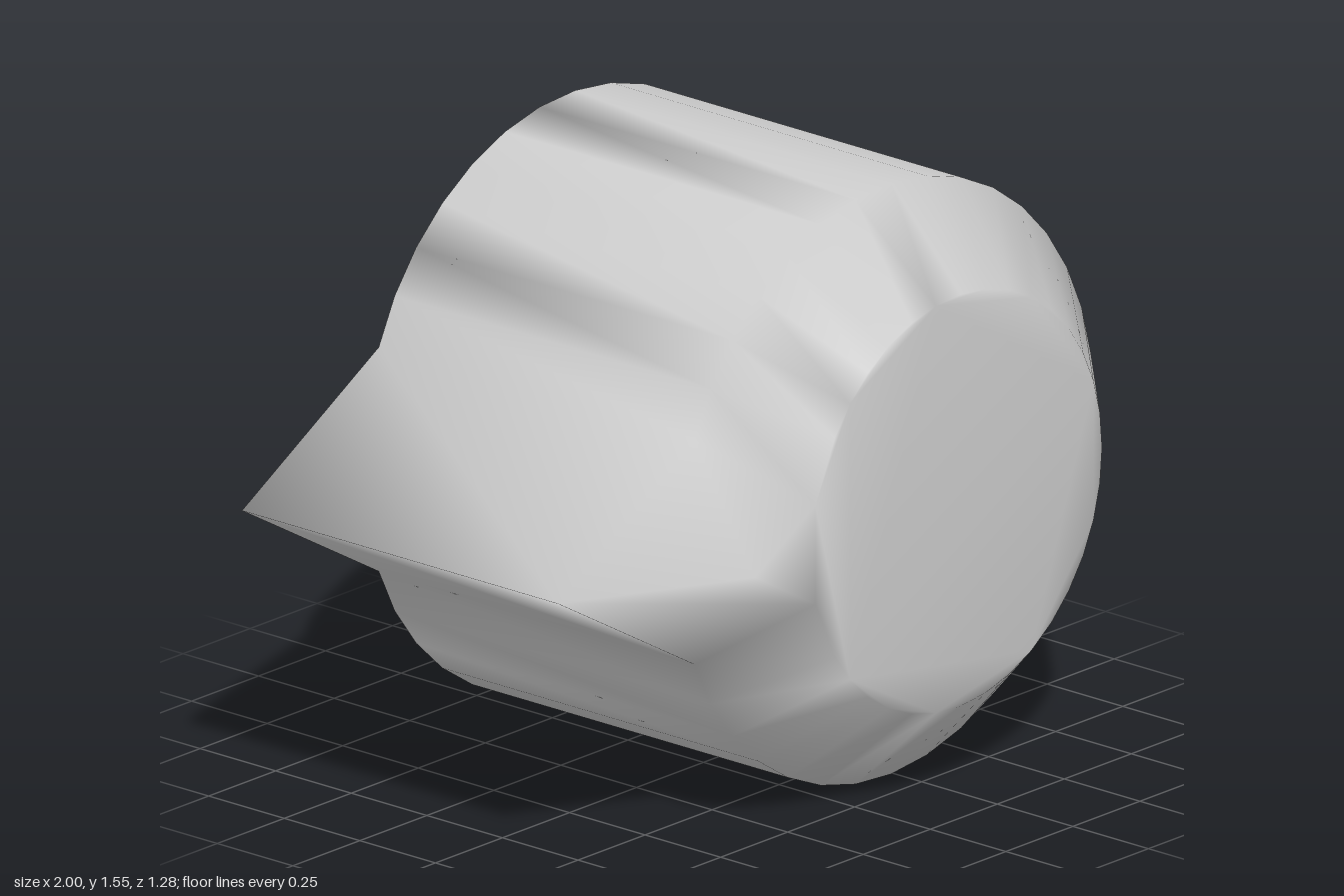
import * as THREE from 'three';

const CX = 0.225, CY = 0.775;
const SEGMENTS = 32;
const CORNER = THREE.MathUtils.degToRad(157.6); // where the round body meets the point

// Counter-clockwise outline: round arc from lower to upper corner, then the tip
function outline(radius, corner, tipX) {
  const points = [];
  for (let i = 0; i <= SEGMENTS; i++) {
    const a = -CORNER + (2 * CORNER * i) / SEGMENTS;
    points.push(new THREE.Vector2(CX + radius * Math.cos(a), CY + radius * Math.sin(a)));
  }
  points[0].set(corner[0], CY - corner[1]);
  points[SEGMENTS].set(corner[0], CY + corner[1]);
  points.push(new THREE.Vector2(tipX, CY));
  return points;
}

export function createModel() {
  const full = outline(0.775, [-0.49, 0.294], -1);
  const inset = outline(0.54, [-0.304, 0.13], -0.53);

  // Cross-sections from back to front, the last one inset for the bevel
  const sections = [[full, -0.64], [full, 0.405], [inset, 0.64]];
  const n = full.length;
  const positions = [], index = [];
  for (const [points, z] of sections) {
    for (const p of points) positions.push(p.x, p.y, z);
  }

  // Side wall and front bevel
  for (let s = 0; s < sections.length - 1; s++) {
    for (let i = 0; i < n; i++) {
      const j = (i + 1) % n;
      const a = s * n + i, b = s * n + j;
      index.push(a, b, b + n, a, b + n, a + n);
    }
  }

  // Back and front caps share the wall vertices, so shading stays smooth
  for (const [a, b, c] of THREE.ShapeUtils.triangulateShape(full, [])) index.push(a, c, b);
  const front = 2 * n;
  for (const [a, b, c] of THREE.ShapeUtils.triangulateShape(inset, [])) {
    index.push(front + a, front + b, front + c);
  }

  const geometry = new THREE.BufferGeometry();
  geometry.setAttribute('position', new THREE.Float32BufferAttribute(positions, 3));
  geometry.setIndex(index);
  geometry.computeVertexNormals();

  const body = new THREE.Mesh(geometry, new THREE.MeshStandardMaterial({ color: 0xcccccc }));
  body.name = 'pointedBody';

  const group = new THREE.Group();
  group.name = 'pointedCam';
  group.add(body);
  return group;
}
